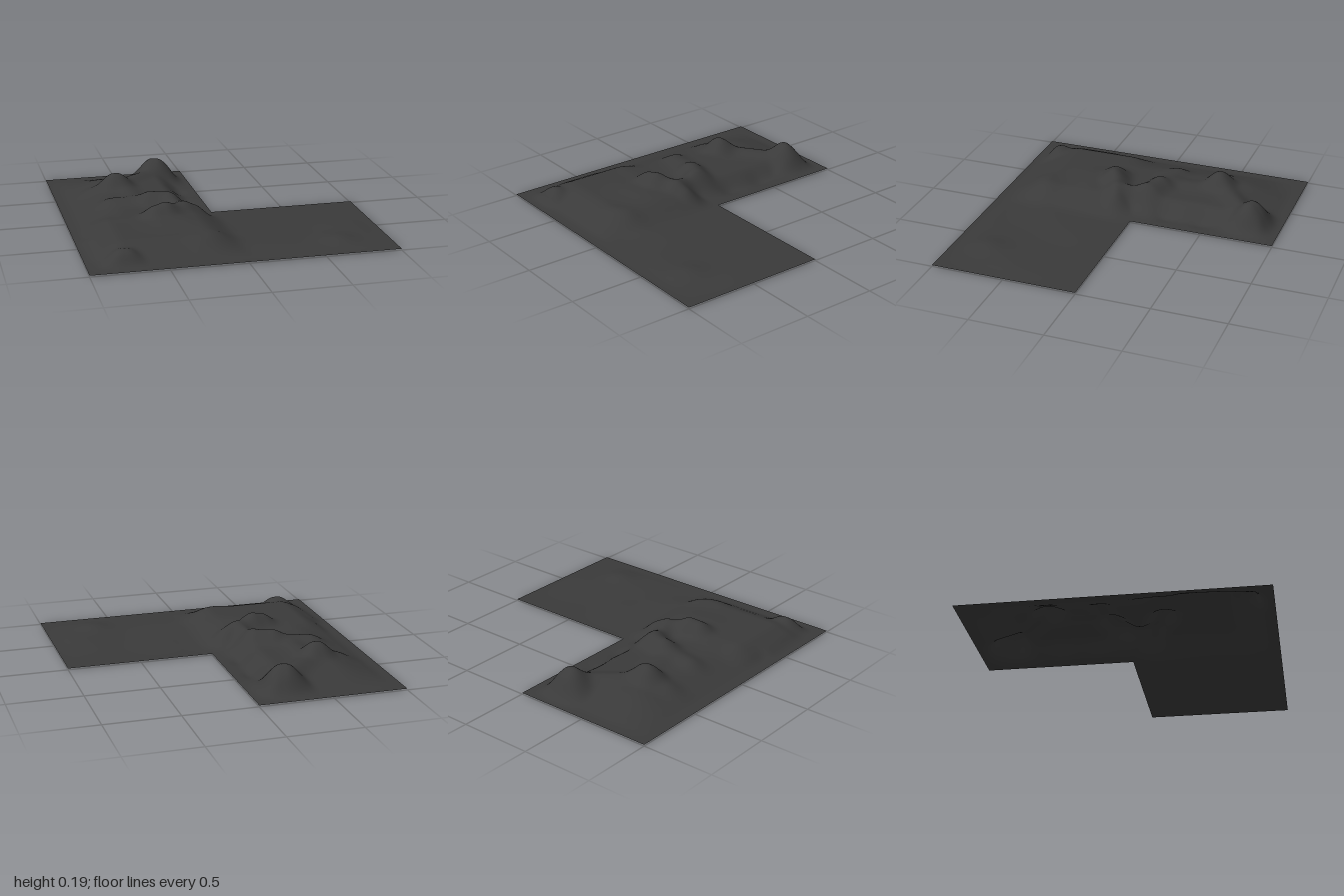
import * as THREE from 'three';

const BASE = 0.012;
const smooth = THREE.MathUtils.smoothstep;

// Flat-topped masses: x rise from/to, x fall from/to, z rise from/to, z fall from/to, height
const masses = [
  [-0.98, -0.74, -0.2, 0.07, -0.05, 0.3, 0.68, 0.97, 0.094],
  [-1, -0.62, -0.27, -0.09, -1, -0.6, 0.15, 0.5, 0.083],
];

// Ridges and peaks: start x, z, end x, z, height, width
const ridges = [
  [-0.77, 0.83, -0.74, 0.83, 0.09, 0.1],      // front corner knoll
  [-0.88, 0.45, -0.85, 0.7, 0.04, 0.1],       // front left shoulder
  [-0.25, 0.72, -0.15, 0.66, 0.075, 0.13],    // front right shoulder
  [-0.4, 0.42, -0.3, 0.4, 0.09, 0.22],        // rise behind the front plateau
  [-0.44, 0.27, -0.38, 0.26, 0.158, 0.13],    // middle peak
  [-0.36, 0.24, -0.24, 0.18, 0.14, 0.12],     // its spur
  [-0.22, 0.19, -0.16, 0.17, 0.11, 0.1],
  [-0.66, -0.12, -0.46, -0.08, 0.1, 0.13],    // cross ridge
  [-0.4, -0.07, -0.3, -0.04, 0.15, 0.13],
  [-0.28, 0.02, -0.26, 0.1, 0.12, 0.1],
  [-0.59, -0.46, -0.57, -0.46, 0.178, 0.13],  // rear left peak
  [-0.72, -0.45, -0.6, -0.46, 0.08, 0.13],
  [-0.52, -0.4, -0.5, -0.15, 0.09, 0.13],     // link to the cross ridge
  [-0.5, -0.53, -0.3, -0.7, 0.105, 0.12],     // saddle between the peaks
  [-0.25, -0.79, -0.22, -0.78, 0.173, 0.125], // rear peak
];

// Gentle swells on the lowland: x, z, height, width
const swells = [
  [0.66, 0.76, 0.024, 0.12],
  [0.78, 0.55, 0.012, 0.2],
  [0.25, 0.36, 0.008, 0.18],
  [0.08, 0.6, 0.016, 0.18],
  [0.4, 0.75, 0.008, 0.25],
  [-0.13, -0.2, -0.014, 0.07],
  [-0.13, -0.46, -0.014, 0.07],
];

function massHeight(x, z, [a, b, c, d, e, f, g, i, h]) {
  return h * smooth(x, a, b) * (1 - smooth(x, c, d)) * smooth(z, e, f) * (1 - smooth(z, g, i));
}

function ridgeHeight(x, z, [ax, az, bx, bz, h, w]) {
  const ex = bx - ax, ez = bz - az;
  const t = THREE.MathUtils.clamp(((x - ax) * ex + (z - az) * ez) / (ex * ex + ez * ez), 0, 1);
  const d = Math.hypot(x - ax - ex * t, z - az - ez * t);
  return h * Math.exp(-((d / w) ** 2));
}

function heightAt(x, z) {
  // Blend the hills by a soft maximum
  let sum = 0;
  for (const m of masses) sum += massHeight(x, z, m) ** 4;
  for (const r of ridges) sum += ridgeHeight(x, z, r) ** 4;
  let h = sum ** 0.25;
  for (const [sx, sz, sh, w] of swells) h += sh * Math.exp(-((x - sx) ** 2 + (z - sz) ** 2) / (w * w));

  // Flatten towards the outer border and the inner rear edge
  h *= smooth(x, -1, -0.86) * (1 - smooth(x, 0.85, 1));
  h *= smooth(z, -1, -0.86) * (1 - smooth(z, 0.87, 0.97));
  h *= 1 - smooth(x, -0.14, 0.02) * (1 - smooth(z, -0.1, 0.15));
  return Math.max(0, BASE + h);
}

export function createModel() {
  const group = new THREE.Group();
  const n = 120;

  // Square grid raised by the height rule
  const geometry = new THREE.PlaneGeometry(2, 2, n, n).rotateX(-Math.PI / 2);
  const pos = geometry.attributes.position;
  for (let i = 0; i < pos.count; i++) pos.setY(i, heightAt(pos.getX(i), pos.getZ(i)));

  // Leave out the rear quarter, giving the L-shaped plot
  const kept = [];
  const index = geometry.index.array;
  for (let i = 0; i < index.length; i += 3) {
    const tri = [index[i], index[i + 1], index[i + 2]];
    const cx = tri.reduce((s, v) => s + pos.getX(v), 0) / 3;
    const cz = tri.reduce((s, v) => s + pos.getZ(v), 0) / 3;
    if (cx < 0 || cz > 0) kept.push(...tri);
  }
  geometry.setIndex(kept);
  geometry.computeVertexNormals();

  const material = new THREE.MeshStandardMaterial({ color: 0x3a3a3a, side: THREE.DoubleSide });
  const terrain = new THREE.Mesh(geometry, material);
  terrain.name = 'terrain';
  group.add(terrain);
  return group;
}
